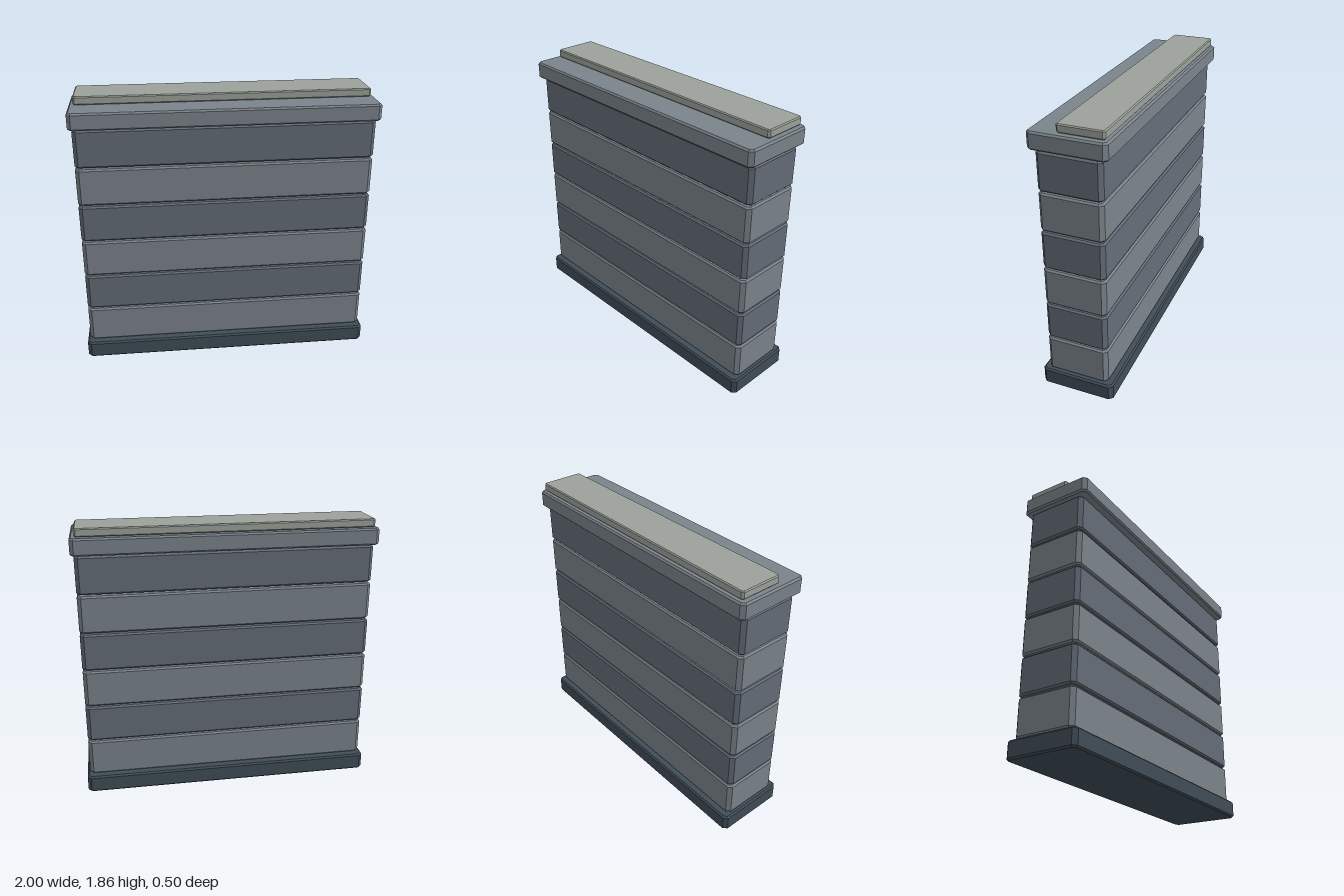
import * as THREE from 'three';

const STONE = 0x7b848b, SLATE = 0x656d78, DARK = 0x404d57, PALE = 0x9ca29b;

// Slab with cut vertical corners (corner) and a narrow bevel round top and bottom
function slab(name, width, depth, y0, y1, color, corner = 0.025, bevel = 0.011) {
  const w = width / 2 - bevel, d = depth / 2 - bevel;
  const c = corner - bevel * (2 - Math.SQRT2);
  const outline = new THREE.Shape([
    [w, c - d], [w, d - c], [w - c, d], [c - w, d],
    [-w, d - c], [-w, c - d], [c - w, -d], [w - c, -d],
  ].map(([x, y]) => new THREE.Vector2(x, y)));
  const geometry = new THREE.ExtrudeGeometry(outline, {
    depth: y1 - y0 - 2 * bevel, bevelSize: bevel, bevelThickness: bevel, bevelSegments: 1,
  });
  geometry.rotateX(-Math.PI / 2).translate(0, y0 + bevel, 0);
  const mesh = new THREE.Mesh(geometry, new THREE.MeshStandardMaterial({ color, flatShading: true }));
  mesh.name = name;
  return mesh;
}

export function createModel() {
  const model = new THREE.Group();
  model.name = 'wall';

  // Footing
  model.add(slab('base', 2, 0.496, 0, 0.118, DARK));

  // Six courses in alternating tones, with open gaps between
  const courses = new THREE.Group();
  courses.name = 'courses';
  for (let i = 0; i < 6; i++) {
    const y = 0.123 + i * 0.2604;
    courses.add(slab(`course${i + 1}`, 1.96, 0.416, y, y + 0.25, i % 2 ? SLATE : STONE));
  }
  model.add(courses);

  // Coping and the thin strip set towards the back
  model.add(slab('coping', 2, 0.496, 1.685, 1.797, STONE));
  const strip = slab('topStrip', 1.94, 0.296, 1.802, 1.856, PALE, 0.013, 0.007);
  strip.position.z = -0.078;
  model.add(strip);

  return model;
}
